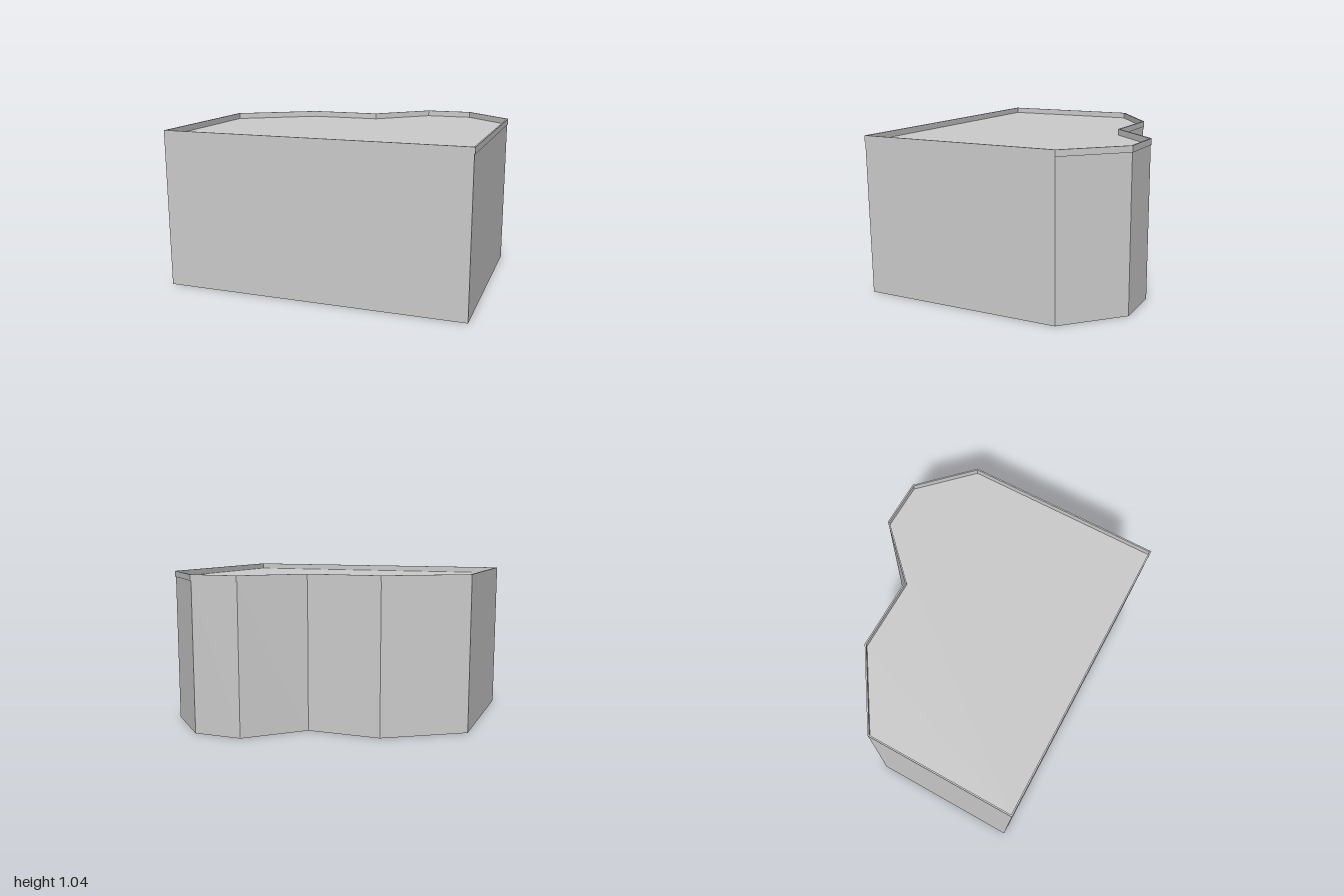
import * as THREE from 'three';

// Plan outline, counter-clockwise, as (x, -z)
const OUTLINE = [
  [-1, -0.833], [1, -0.833], [1, 0.5], [0.664, 0.833],
  [0.332, 0.833], [0, 0.5], [-0.5, 0.5], [-1, 0.167],
].map(([x, y]) => new THREE.Vector2(x, y));

const FLOOR = 1.0;
const TOP = 1.04;
const RIM = 0.01;

// Move every edge inwards by d, with mitred corners
function inset(points, d) {
  const n = points.length;
  return points.map((p, i) => {
    const a = p.clone().sub(points[(i + n - 1) % n]).normalize();
    const b = points[(i + 1) % n].clone().sub(p).normalize();
    const na = new THREE.Vector2(-a.y, a.x);
    const nb = new THREE.Vector2(-b.y, b.x);
    const miter = na.clone().add(nb);
    return p.clone().addScaledVector(miter, d / (1 + na.dot(nb)));
  });
}

// Upright prism from a plan shape
function prism(name, shape, y0, y1, material) {
  const geometry = new THREE.ExtrudeGeometry(shape, { depth: y1 - y0, bevelEnabled: false });
  geometry.rotateX(-Math.PI / 2).translate(0, y0, 0);
  const mesh = new THREE.Mesh(geometry, material);
  mesh.name = name;
  return mesh;
}

export function createModel() {
  const group = new THREE.Group();
  group.name = 'building';
  const material = new THREE.MeshStandardMaterial({ color: 0xcccccc, flatShading: true });

  // Solid block, a hair short of the rim at the back and the left side
  const body = OUTLINE.map((p) => new THREE.Vector2(
    (p.x + 1) * 0.9975 - 1,
    (p.y + 0.833) * 0.997 - 0.833,
  ));
  group.add(prism('block', new THREE.Shape(body), 0, FLOOR, material));

  // Thin parapet around the flat roof
  const rim = new THREE.Shape(OUTLINE);
  rim.holes.push(new THREE.Path(inset(OUTLINE, RIM).reverse()));
  group.add(prism('parapet', rim, FLOOR, TOP, material));

  return group;
}
